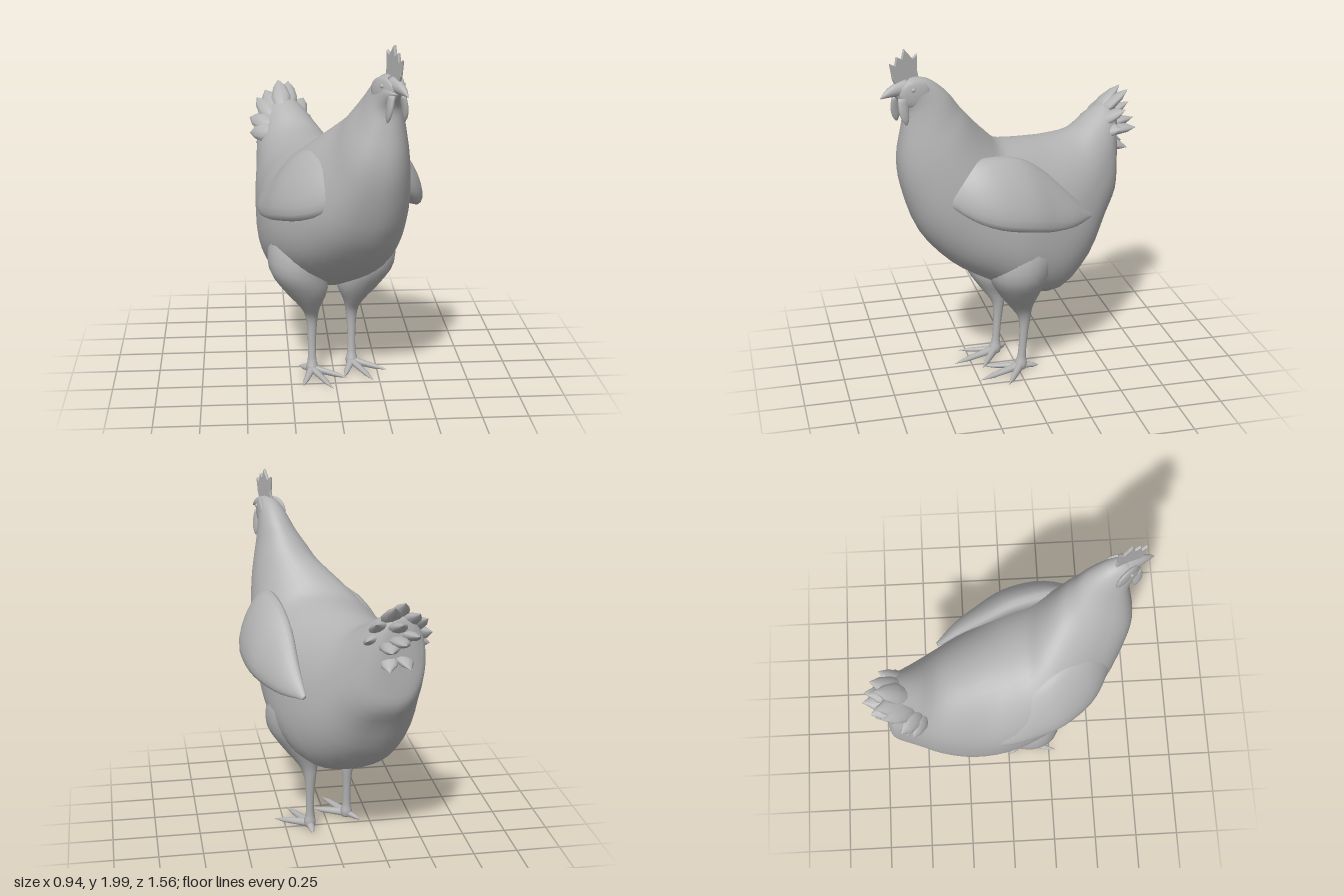
import * as THREE from 'three';

const grey = new THREE.MeshStandardMaterial({ color: 0xb4b4b4 });
grey.name = 'plain grey';
const V = (x, y, z) => new THREE.Vector3(x, y, z);
const YAW = 0.38; // the bird stands turned towards its left

function add(parent, name, geometry) {
  const mesh = new THREE.Mesh(geometry, grey);
  mesh.name = name;
  parent.add(mesh);
  return mesh;
}

// Smooth closed skin through rings [centre, u, v], with u x v along the path.
// A lowerPower under 1 makes the -v half of each ring fuller than an ellipse.
function loft(rings, sides = 28, lowerPower = 1, sub = 3) {
  const curves = [0, 1, 2].map(k => new THREE.CatmullRomCurve3(rings.map(r => r[k]), false, 'catmullrom', 0.5));
  const n = (rings.length - 1) * sub, pos = [], index = [];
  for (let i = 0; i <= n; i++) {
    const [c, u, v] = curves.map(q => q.getPoint(i / n));
    for (let j = 0; j < sides; j++) {
      const a = j / sides * Math.PI * 2, power = a > Math.PI ? lowerPower : 1;
      const full = t => Math.sign(t) * Math.abs(t) ** power;
      pos.push(...c.clone().addScaledVector(u, full(Math.cos(a))).addScaledVector(v, full(Math.sin(a))).toArray());
    }
  }
  pos.push(...rings[0][0].toArray(), ...rings[rings.length - 1][0].toArray());
  const first = (n + 1) * sides;
  for (let j = 0; j < sides; j++) {
    const k = (j + 1) % sides;
    for (let i = 0; i < n; i++) {
      const a = i * sides + j, b = i * sides + k;
      index.push(a, b, a + sides, b, b + sides, a + sides);
    }
    index.push(first, k, j, first + 1, n * sides + j, n * sides + k);
  }
  const g = new THREE.BufferGeometry();
  g.setAttribute('position', new THREE.Float32BufferAttribute(pos, 3));
  g.setIndex(index);
  g.computeVertexNormals();
  return g;
}

// Flattened round part from one point to another; profile holds [radius, fraction of length]
function spike(parent, name, from, to, profile, flat) {
  const dir = to.clone().sub(from), len = dir.length();
  const mesh = add(parent, name, new THREE.LatheGeometry(
    profile.map(([r, t]) => new THREE.Vector2(r, t * len)), 10));
  mesh.position.copy(from);
  mesh.quaternion.setFromUnitVectors(V(0, 1, 0), dir.normalize());
  mesh.scale.z = flat;
}

function buildBody(hen) {
  // top z, top y, bottom z, bottom y, centre x, half width; from tail to face
  const sections = [
    [-0.67, 1.47, -0.66, 1.20, -0.27, 0.07],
    [-0.60, 1.49, -0.655, 1.08, -0.255, 0.15],
    [-0.48, 1.43, -0.64, 0.97, -0.22, 0.195],
    [-0.37, 1.36, -0.56, 0.84, -0.175, 0.245],
    [-0.22, 1.35, -0.44, 0.63, -0.12, 0.31],
    [-0.10, 1.36, -0.25, 0.47, -0.07, 0.36],
    [0.00, 1.37, -0.02, 0.50, -0.03, 0.39],
    [0.10, 1.39, 0.20, 0.61, 0.005, 0.375],
    [0.17, 1.455, 0.40, 0.745, 0.05, 0.335],
    [0.24, 1.53, 0.57, 0.95, 0.11, 0.275],
    [0.30, 1.60, 0.66, 1.20, 0.165, 0.205],
    [0.35, 1.66, 0.685, 1.38, 0.19, 0.16],
    [0.40, 1.73, 0.665, 1.54, 0.215, 0.115],
    [0.46, 1.79, 0.65, 1.64, 0.23, 0.088],
    [0.53, 1.835, 0.66, 1.69, 0.245, 0.072],
    [0.61, 1.845, 0.69, 1.74, 0.262, 0.052],
    [0.66, 1.82, 0.70, 1.76, 0.272, 0.03]
  ];
  add(hen, 'body', loft(sections.map(([tz, ty, bz, by, x, w]) => [
    V(x, (ty + by) / 2, (tz + bz) / 2), V(w, 0, 0), V(0, (ty - by) / 2, (tz - bz) / 2)
  ]), 44, 0.82));
}

function buildWings(hen) {
  const wings = new THREE.Group();
  wings.name = 'wings';
  wings.rotation.y = YAW;
  hen.add(wings);
  // along, sideways, height, half height, half thickness; from tip to shoulder
  const sections = [
    [-0.29, 0.325, 0.97, 0.012, 0.012], [-0.15, 0.335, 1.04, 0.09, 0.045],
    [0, 0.325, 1.12, 0.16, 0.065], [0.15, 0.315, 1.18, 0.19, 0.08],
    [0.33, 0.275, 1.21, 0.18, 0.08], [0.46, 0.215, 1.22, 0.13, 0.06], [0.56, 0.14, 1.22, 0.04, 0.02]
  ];
  for (const side of [1, -1]) {
    add(wings, side > 0 ? 'leftWing' : 'rightWing', loft(sections.map(([z, x, y, h, t]) =>
      [V(side * x, y, z), V(t, 0, 0), V(-side * h * 0.45, h, 0)]), 20));
  }
}

function buildTail(hen) {
  const tips = [
    [-0.28, 1.57, -0.70], [-0.22, 1.555, -0.73], [-0.13, 1.46, -0.69], [-0.36, 1.51, -0.70],
    [-0.41, 1.47, -0.66], [-0.455, 1.37, -0.58], [-0.455, 1.29, -0.52], [-0.42, 1.22, -0.56],
    [-0.27, 1.37, -0.785], [-0.20, 1.33, -0.78], [-0.35, 1.40, -0.74], [-0.20, 1.21, -0.73],
    [-0.31, 1.22, -0.73], [-0.09, 1.36, -0.66], [-0.26, 1.47, -0.75]
  ];
  const root = V(-0.24, 1.32, -0.42);
  const leaf = [[0, 0], [0.045, 0.2], [0.06, 0.5], [0.04, 0.78], [0, 1]];
  tips.forEach(t => {
    const tip = V(...t);
    spike(hen, 'tailFeather', root.clone().lerp(tip, 0.3), tip, leaf, 0.55);
  });
}

function buildHead(hen) {
  const head = new THREE.Group();
  head.name = 'head';
  head.position.set(0.25, 1.78, 0.6);
  head.rotation.y = YAW;
  hen.add(head);

  // hooked beak
  add(head, 'beak', loft([
    [V(0, 0.015, 0.03), V(0.045, 0, 0), V(0, 0.05, 0)],
    [V(0, 0.012, 0.10), V(0.03, 0, 0), V(0, 0.036, 0)],
    [V(0, 0, 0.15), V(0.018, 0, 0), V(0, 0.022, 0)],
    [V(0, -0.018, 0.19), V(0.003, 0, 0), V(0, 0.005, 0)]
  ], 14));

  // thin serrated comb, outlined in the plane of forward and up
  const outline = [[-0.04, 0.03], [-0.025, 0.10], [-0.03, 0.18], [0, 0.16], [0.045, 0.214], [0.06, 0.165],
    [0.09, 0.18], [0.10, 0.135], [0.13, 0.15], [0.115, 0.07], [0.09, 0.02]];
  const comb = add(head, 'comb', new THREE.ExtrudeGeometry(
    new THREE.Shape(outline.map(p => new THREE.Vector2(...p))),
    { depth: 0.008, bevelThickness: 0.004, bevelSize: 0.003, bevelSegments: 1 }));
  comb.rotation.y = -Math.PI / 2;
  comb.position.x = 0.004;

  for (const s of [1, -1]) {
    const face = add(head, 'facePatch', new THREE.SphereGeometry(1, 18, 12));
    face.scale.set(0.018, 0.072, 0.082);
    face.position.set(s * 0.05, -0.015, 0.015);
    face.rotation.y = -s * 0.3;
    const eye = add(head, 'eye', new THREE.SphereGeometry(0.011, 12, 8));
    eye.position.set(s * 0.061, 0.012, 0.03);
    // flat hanging wattles
    add(head, 'wattle', loft([
      [V(s * 0.03, -0.03, 0.075), V(0.016, 0, 0), V(0, 0, 0.03)],
      [V(s * 0.042, -0.09, 0.08), V(0.014, 0, 0), V(0, 0, 0.03)],
      [V(s * 0.048, -0.14, 0.075), V(0.011, 0, 0), V(0, 0, 0.022)],
      [V(s * 0.05, -0.17, 0.07), V(0.003, 0, 0), V(0, 0, 0.005)]
    ], 12));
  }
}

function buildLeg(hen, name, x, z, side) {
  const leg = new THREE.Group();
  leg.name = name;
  leg.position.set(x, 0, z);
  hen.add(leg);
  // height, outward offset, forward offset, half width, half depth; thigh down to ankle
  const sections = [
    [0.98, 0.06, 0.00, 0.09, 0.10], [0.82, 0.085, 0.01, 0.15, 0.17], [0.66, 0.085, 0.03, 0.155, 0.17],
    [0.53, 0.035, 0.02, 0.125, 0.125], [0.42, 0.01, 0, 0.06, 0.068], [0.34, 0, -0.02, 0.035, 0.036],
    [0.22, 0, -0.015, 0.024, 0.024], [0.10, 0, -0.005, 0.024, 0.024], [0.05, 0, 0, 0.034, 0.036],
    [0.018, 0, 0, 0.03, 0.03]
  ];
  add(leg, 'thighAndShank', loft(sections.map(([y, o, f, w, d]) =>
    [V(side * o, y, f), V(w, 0, 0), V(0, 0, d)]), 20));

  // three front toes and one hind toe, each narrowing to a claw
  const toes = [[YAW - 0.65, 0.22], [YAW, 0.29], [YAW + 0.65, 0.23], [YAW + Math.PI - side * 0.35, 0.11]];
  const toeProfile = [[0.026, 0], [0.02, 0.4], [0.016, 0.68], [0.01, 0.8], [0, 1]];
  for (const [angle, length] of toes) {
    const at = (r, y) => V(Math.sin(angle) * r, y, Math.cos(angle) * r);
    spike(leg, 'toe', at(0, 0.036), at(length, 0.02), toeProfile, 0.8);
  }
}

export function createModel() {
  const hen = new THREE.Group();
  hen.name = 'hen';
  buildBody(hen);
  buildWings(hen);
  buildTail(hen);
  buildHead(hen);
  buildLeg(hen, 'leftLeg', 0.11, -0.015, 1);
  buildLeg(hen, 'rightLeg', -0.125, 0.085, -1);
  return hen;
}
